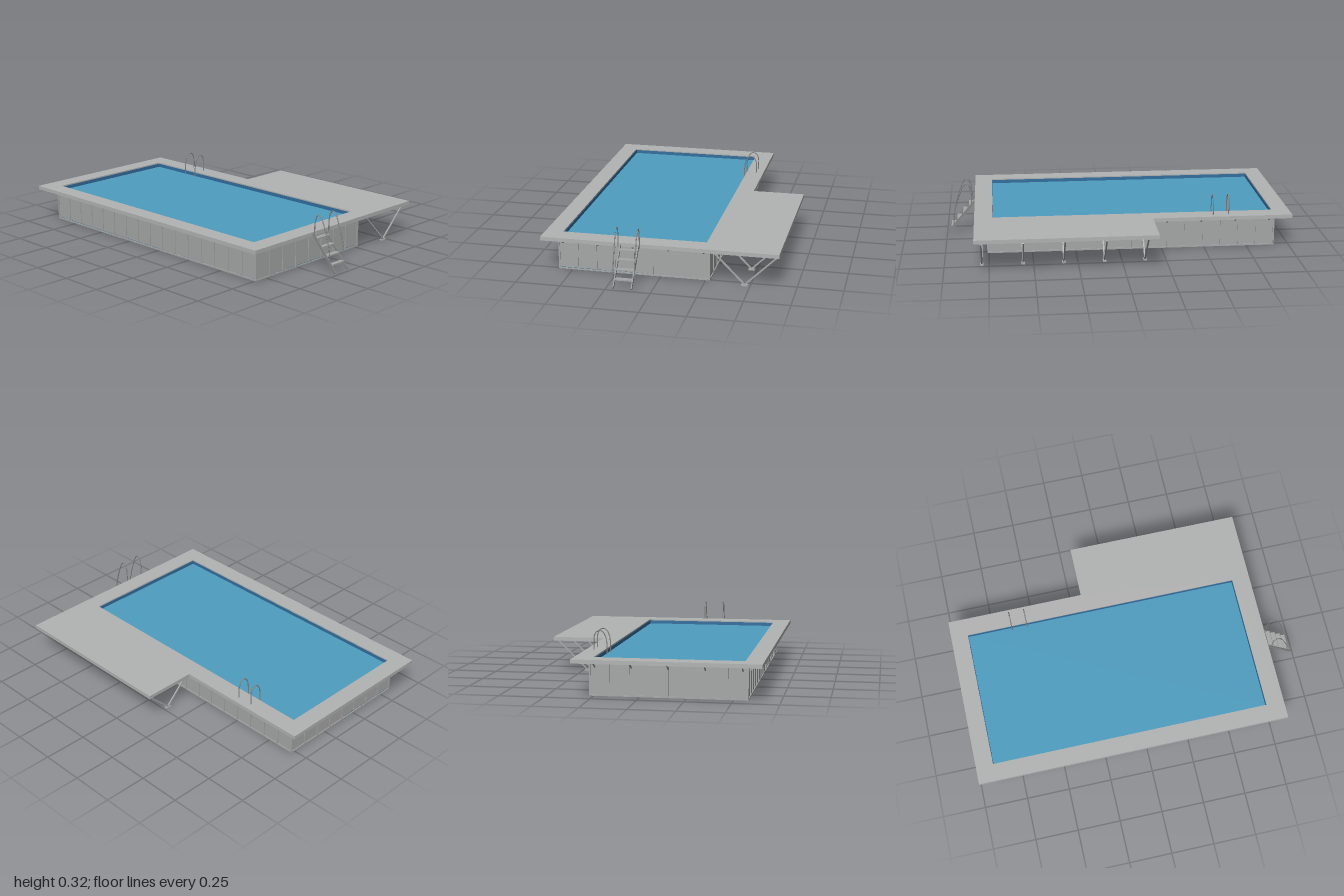
import * as THREE from 'three';

const mat = (name, color) => {
  const m = new THREE.MeshStandardMaterial({ color });
  m.name = name;
  return m;
};

export function createModel() {
  const deckGrey = mat('deck grey', 0xb2b4b3);
  const steel = mat('steel grey', 0xa6a8a7);
  const railGrey = mat('rail grey', 0x858787);
  const waterBlue = mat('water blue', 0x4e9dc0);
  const linerBlue = mat('liner blue', 0x346f9f);

  const model = new THREE.Group();
  model.name = 'raisedPool';
  const group = (name) => {
    const g = new THREE.Group();
    g.name = name;
    model.add(g);
    return g;
  };
  const add = (parent, name, geometry, material) => {
    const mesh = new THREE.Mesh(geometry, material);
    mesh.name = name;
    parent.add(mesh);
    return mesh;
  };
  // Box given by its limits on each axis
  const box = (parent, name, x0, x1, y0, y1, z0, z1, material) => {
    const mesh = add(parent, name, new THREE.BoxGeometry(x1 - x0, y1 - y0, z1 - z0), material);
    mesh.position.set((x0 + x1) / 2, (y0 + y1) / 2, (z0 + z1) / 2);
    return mesh;
  };
  // Square bar running from point a to point b
  const bar = (parent, name, a, b, w, h, material) => {
    const p = new THREE.Vector3(...a), q = new THREE.Vector3(...b);
    const mesh = add(parent, name, new THREE.BoxGeometry(w, h, p.distanceTo(q)), material);
    mesh.position.copy(p).lerp(q, 0.5);
    mesh.lookAt(q);
    return mesh;
  };
  // Four bars around a rectangle, t thick towards the inside
  const frame = (parent, name, x0, x1, y0, y1, z0, z1, t, material) => {
    box(parent, name, x0, x1, y0, y1, z0, z0 + t, material);
    box(parent, name, x0, x1, y0, y1, z1 - t, z1, material);
    box(parent, name, x0, x0 + t, y0, y1, z0 + t, z1 - t, material);
    box(parent, name, x1 - t, x1, y0, y1, z0 + t, z1 - t, material);
  };
  const tube = (parent, name, points, r) => {
    const curve = new THREE.CatmullRomCurve3(points.map((p) => new THREE.Vector3(...p)));
    return add(parent, name, new THREE.TubeGeometry(curve, 32, r, 8, false), railGrey);
  };

  // L-shaped deck with the pool opening
  const X0 = -0.58, X1 = 0.275, Z0 = -0.915, Z1 = 0.76, TOP = 0.185;
  const path = (pts) => pts.map(([x, z]) => new THREE.Vector2(x, -z));
  const deckShape = new THREE.Shape(path([
    [-0.66, 0.83], [0.66, 0.83], [0.66, -0.19], [0.355, -0.19], [0.355, -1], [-0.66, -1],
  ]));
  deckShape.holes.push(new THREE.Path(path([[-0.56, 0.725], [-0.56, -0.9], [0.25, -0.9], [0.25, 0.725]])));
  const deckGeo = new THREE.ExtrudeGeometry(deckShape, { depth: 0.022, bevelEnabled: false });
  deckGeo.rotateX(-Math.PI / 2).translate(0, TOP, 0);
  add(model, 'deck', deckGeo, deckGrey);

  // Basin: walls, floor, liner edge and water
  const basin = group('basin');
  const s = 0.005;
  frame(basin, 'wall', X0 + s, X1 - s, 0.004, TOP, Z0 + s, Z1 - s, 0.01, steel);
  box(basin, 'floor', X0 + s, X1 - s, 0.003, 0.01, Z0 + s, Z1 - s, linerBlue);
  box(basin, 'water', X0 + 0.015, X1 - 0.015, 0.17, 0.18, Z0 + 0.015, Z1 - 0.015, waterBlue);
  frame(basin, 'linerEdge', -0.56, 0.25, 0.172, 0.2, -0.9, 0.725, 0.002, linerBlue);

  // Wall framing: rails and evenly spaced ribs
  const framing = group('wallFraming');
  frame(framing, 'bottomRail', X0, X1, 0, 0.008, Z0, Z1, 0.01, steel);
  frame(framing, 'topRail', X0, X1, 0.177, TOP, Z0, Z1, 0.01, steel);
  const r = 0.004;
  for (let i = 0; i <= 8; i++) {
    const x = THREE.MathUtils.lerp(X0 + r, X1 - r, i / 8);
    for (const z of [Z0, Z1 - 0.008]) box(framing, 'rib', x - r, x + r, 0.008, 0.177, z, z + 0.008, steel);
  }
  for (let i = 1; i < 16; i++) {
    const z = THREE.MathUtils.lerp(Z0 + r, Z1 - r, i / 16);
    for (const x of [X0, X1 - 0.008]) box(framing, 'rib', x, x + 0.008, 0.008, 0.177, z - r, z + r, steel);
  }

  // Diagonal brackets under the overhanging deck
  const brackets = group('deckBrackets');
  const bracket = (x, z, dx, dz) => {
    const end = [x + dx * 0.045, 0.182, z + dz * 0.045];
    bar(brackets, 'bracketStrut', [x, 0.155, z], end, 0.006, 0.006, steel);
    bar(brackets, 'bracketArm', [x, 0.182, z], end, 0.006, 0.006, steel);
  };
  for (let i = 0; i < 5; i++) {
    const x = -0.55 + i * 0.198;
    bracket(x, Z1, 0, 1);
    bracket(x, Z0, 0, -1);
  }
  for (let i = 0; i < 9; i++) {
    const z = -0.88 + i * 0.2;
    bracket(X0, z, -1, 0);
    if (z < -0.2) bracket(X1, z, 1, 0);
  }

  // V-shaped supports and joists under the wide deck
  const supports = group('deckSupports');
  for (let i = 0; i < 5; i++) {
    const z = 0.79 - i * 0.23;
    bar(supports, 'supportLeg', [0.47, 0.007, z], [0.298, 0.18, z], 0.008, 0.008, steel);
    bar(supports, 'supportLeg', [0.47, 0.007, z], [0.648, 0.18, z], 0.008, 0.008, steel);
    box(supports, 'supportFoot', 0.453, 0.488, 0, 0.007, z - 0.01, z + 0.01, steel);
  }
  for (let i = 0; i < 11; i++) {
    const z = 0.79 - i * 0.092;
    box(supports, 'joist', X1, 0.652, 0.178, TOP, z - 0.009, z + 0.009, steel);
  }

  // Entry ladder with sloping stringers, treads and curved handrails
  const ladder = group('entryLadder');
  for (const x of [-0.205, -0.105]) {
    bar(ladder, 'stringer', [x, 0.01, 0.993], [x, 0.198, 0.832], 0.006, 0.014, railGrey);
  }
  for (let i = 0; i < 4; i++) {
    const y = 0.05 + i * 0.042, z = 0.96 - i * 0.036;
    box(ladder, 'tread', -0.203, -0.107, y - 0.004, y + 0.004, z - 0.013, z + 0.013, steel);
  }
  for (const x of [-0.213, -0.095]) {
    tube(ladder, 'handrail', [
      [x, 0.065, 0.958], [x, 0.12, 0.955], [x, 0.19, 0.938], [x, 0.27, 0.91],
      [x, 0.305, 0.892], [x, 0.313, 0.876], [x, 0.3, 0.86], [x, 0.26, 0.85], [x, 0.19, 0.848],
    ], 0.003);
  }

  // Arched grab rails at the water's edge
  const grab = group('poolGrabRails');
  for (const z of [-0.635, -0.545]) {
    tube(grab, 'grabRail', [
      [0.237, 0.17, z], [0.237, 0.23, z], [0.245, 0.28, z], [0.262, 0.308, z], [0.28, 0.314, z],
      [0.298, 0.305, z], [0.31, 0.28, z], [0.312, 0.24, z], [0.311, 0.2, z],
    ], 0.003);
  }
  return model;
}
